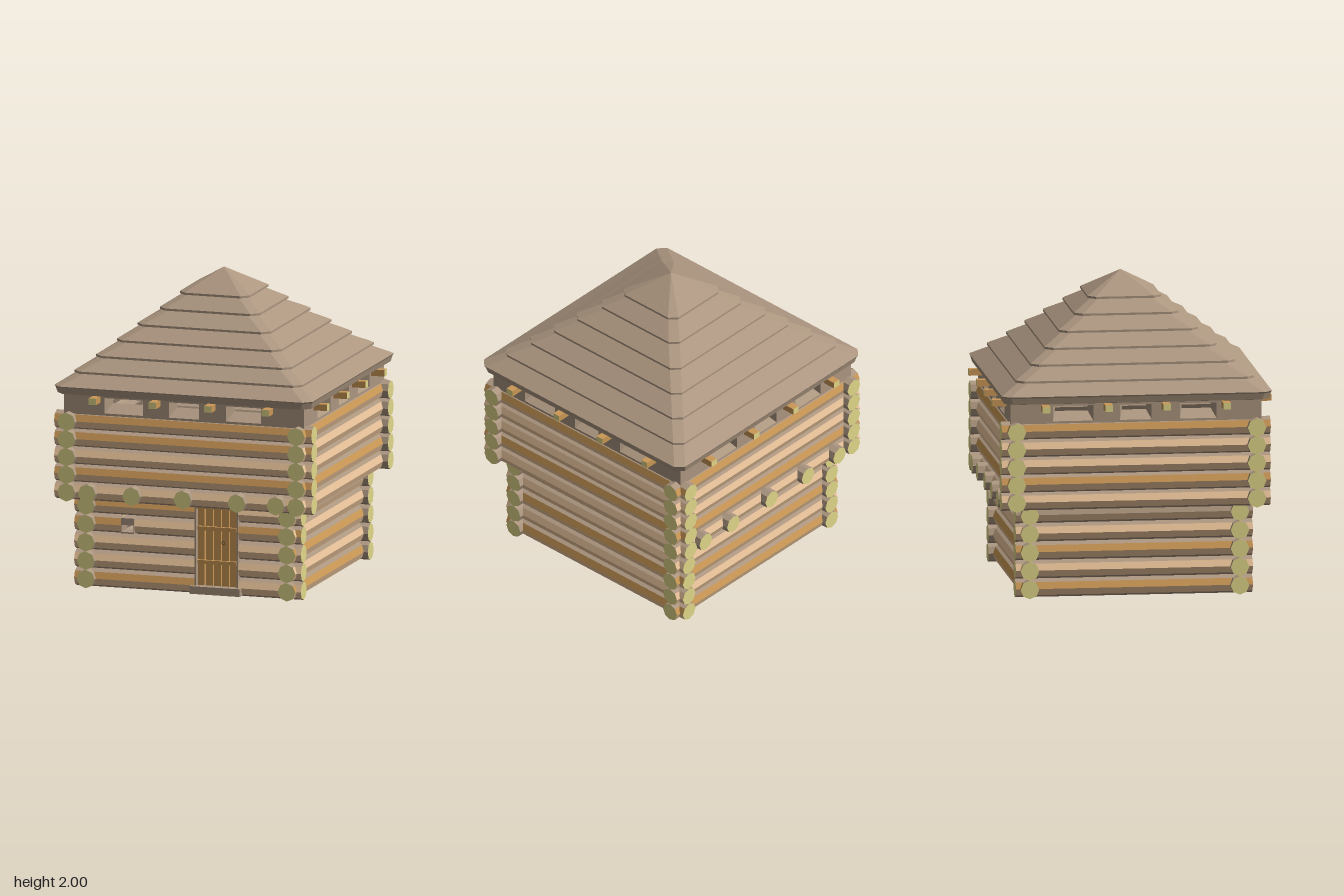
import * as THREE from 'three';

const mat = (name, color) => {
  const m = new THREE.MeshStandardMaterial({ color });
  m.name = name;
  return m;
};

export function createModel() {
  const model = new THREE.Group();
  model.name = 'logBlockhouse';
  const aged = mat('agedWood', 0xac9680);
  const orange = mat('orangeWood', 0xcb9856);
  const pale = mat('paleWood', 0xeac49a);
  const cut = mat('cutWood', 0xe2d88a);
  const iron = mat('darkIron', 0x6a5238);

  const add = (parent, name, geo, m, x = 0, y = 0, z = 0) => {
    const mesh = new THREE.Mesh(geo, m);
    mesh.name = name;
    mesh.position.set(x, y, z);
    parent.add(mesh);
    return mesh;
  };
  const box = (parent, name, m, w, h, d, x, y, z) =>
    add(parent, name, new THREE.BoxGeometry(w, h, d), m, x, y, z);

  // Eight-sided log along x. Groups: 0 upper outer facet, 1 hidden facets,
  // 2 lower outer facet, 3 end at -x, 4 end at +x
  const R = 0.06;
  const logGeometry = (length) => {
    const g = new THREE.CylinderGeometry(R, R, length, 8, 1);
    g.clearGroups();
    g.addGroup(0, 6, 0);
    g.addGroup(6, 36, 1);
    g.addGroup(42, 6, 2);
    g.addGroup(48, 24, 3);
    g.addGroup(72, 24, 4);
    const flat = g.toNonIndexed();
    flat.computeVertexNormals();
    return flat.rotateZ(Math.PI / 2);
  };
  const log = (parent, name, x0, x1, y, z, face) =>
    add(parent, name, logGeometry(x1 - x0), [face, aged, pale, cut, cut], (x0 + x1) / 2, y, z);

  const sides = ['front', 'left', 'back', 'right'];
  const wall = (name, k) => {
    const g = new THREE.Group();
    g.name = sides[k] + name;
    g.rotation.y = (k * Math.PI) / 2;
    model.add(g);
    return g;
  };

  // Plank band with splayed loopholes
  const windows = [[-0.405, 0.13], [0, 0.102], [0.402, 0.118]];
  const OUT = 0.81, IN = 0.71, SPLAY = 0.025;
  const loopholeBand = (g) => {
    const edges = [[-OUT, -OUT]];
    for (const [c, w] of windows) {
      edges.push([c - w, c - w + SPLAY], [c + w, c + w - SPLAY]);
    }
    edges.push([OUT, OUT]);
    for (let i = 0; i < edges.length; i += 2) {
      const [a, b] = [edges[i], edges[i + 1]];
      const s = new THREE.Shape([
        new THREE.Vector2(a[0], -OUT), new THREE.Vector2(b[0], -OUT),
        new THREE.Vector2(b[1], -IN), new THREE.Vector2(a[1], -IN)]);
      const geo = new THREE.ExtrudeGeometry(s, { depth: 0.13, bevelEnabled: false });
      add(g, 'loopholePier', geo.rotateX(-Math.PI / 2), aged, 0, 1.13, 0);
    }
    const sill = new THREE.Shape([
      new THREE.Vector2(OUT, 1.13), new THREE.Vector2(OUT, 1.16),
      new THREE.Vector2(IN, 1.21), new THREE.Vector2(IN, 1.13)]);
    const sillGeo = new THREE.ExtrudeGeometry(sill, { depth: 1.6, bevelEnabled: false });
    add(g, 'loopholeSill', sillGeo.rotateY(-Math.PI / 2), aged, 0.8, 0, 0);
    box(g, 'loopholeLintel', aged, OUT * 2, 0.055, 0.1, 0, 1.2875, 0.76);
  };

  // Four walls, both storeys
  const lowerFaces = [orange, pale, orange, pale, aged];
  const lowerFront = [orange, pale, pale, pale, orange];
  const upperFront = [pale, orange, pale, orange, orange];
  const upperSide = [pale, orange, pale, pale, orange];
  for (let k = 0; k < 4; k++) {
    const low = wall('LowerWall', k);
    const up = wall('UpperWall', k);
    for (let i = 0; i < 5; i++) {
      const y = 0.06 + i * 0.12;
      if (k === 0) {
        // Front logs stop at the door and the small window
        const face = lowerFront[i];
        if (i === 3) {
          log(low, 'lowerLog', -0.765, -0.45, y, 0.678, orange);
          log(low, 'lowerLog', -0.36, 0.05, y, 0.678, face);
        } else {
          log(low, 'lowerLog', -0.765, 0.05, y, 0.678, face);
        }
        log(low, 'lowerLog', 0.34, 0.765, y, 0.678, i === 3 ? orange : pale);
      } else {
        log(low, 'lowerLog', -0.765, 0.765, y, 0.678, lowerFaces[i]);
      }
      const face = (k === 0 ? upperFront : upperSide)[i];
      log(up, 'upperLog', -0.868, 0.868, 0.64 + i * 0.115, 0.775, face);
    }
    loopholeBand(up);
    // Rafter ends below the eaves
    for (const x of [-0.588, -0.183, 0.19, 0.578]) {
      box(up, 'rafterEnd', [orange, orange, orange, orange, cut, cut], 0.05, 0.042, 0.16, x, 1.25, 0.82);
    }
  }

  // Floor joists poking out at front and back, the outer ones shorter
  for (const s of [1, -1]) {
    for (const [x, length] of [[-0.635, 0.16], [-0.335, 0.28], [0.01, 0.28], [0.375, 0.28], [0.638, 0.16]]) {
      const j = add(model, 'floorJoist', logGeometry(length), [aged, aged, aged, cut, aged],
        x, 0.64, s * (0.872 - length / 2));
      j.rotation.y = (s * Math.PI) / 2;
    }
  }

  // Door
  const door = new THREE.Group();
  door.name = 'door';
  model.add(door);
  for (let i = 0; i < 5; i++) {
    box(door, 'doorPlank', orange, 0.046, 0.5, 0.025, 0.085 + i * 0.0545, 0.31, 0.7);
  }
  for (const y of [0.215, 0.435]) {
    box(door, 'doorBatten', orange, 0.26, 0.025, 0.02, 0.195, y, 0.722);
  }
  for (const x of [0.053, 0.337]) box(door, 'doorJamb', aged, 0.009, 0.52, 0.12, x, 0.32, 0.678);
  box(door, 'doorLintel', orange, 0.28, 0.015, 0.12, 0.195, 0.572, 0.678);
  const ring = add(door, 'doorHandle', new THREE.TorusGeometry(0.01, 0.003, 6, 12), iron, 0.235, 0.345, 0.716);
  ring.rotation.z = 0.3;
  box(door, 'doorStep', aged, 0.34, 0.05, 0.2, 0.193, 0.035, 0.668);

  // Small firing window beside the door
  const frame = new THREE.Shape([
    new THREE.Vector2(-0.045, -0.05), new THREE.Vector2(0.045, -0.05),
    new THREE.Vector2(0.045, 0.05), new THREE.Vector2(-0.045, 0.05)]);
  frame.holes.push(new THREE.Path([
    new THREE.Vector2(-0.04, -0.04), new THREE.Vector2(-0.04, 0.005),
    new THREE.Vector2(0.04, 0.005), new THREE.Vector2(0.04, -0.04)]));
  add(model, 'smallWindow', new THREE.ExtrudeGeometry(frame, { depth: 0.12, bevelEnabled: false }),
    aged, -0.405, 0.418, 0.615);

  // Stepped shingle roof: square rings with clipped corners
  const tiers = [[0.77, 1.415], [0.66, 1.503], [0.555, 1.592], [0.45, 1.682], [0.338, 1.772], [0.236, 1.862]];
  const profile = [[0, 1.3], [0.8, 1.3], [0.815, 1.272], [0.855, 1.28], [0.866, 1.32], [0.872, 1.33]];
  for (const [h, y] of tiers) profile.push([h - 0.025, y - 0.014], [h, y - 0.014], [h, y]);
  profile.push([0, 2]);
  const ringPoints = ([h, y]) => {
    const c = h - Math.min(0.05, h * 0.2);
    return [[-c, h], [c, h], [h, c], [h, -c], [c, -h], [-c, -h], [-h, -c], [-h, c]]
      .map(([x, z]) => [x, y, z]);
  };
  const pos = [];
  for (let i = 0; i + 1 < profile.length; i++) {
    const lo = ringPoints(profile[i]);
    const hi = ringPoints(profile[i + 1]);
    for (let j = 0; j < 8; j++) {
      const n = (j + 1) % 8;
      if (profile[i][0] > 0) pos.push(...lo[j], ...lo[n], ...hi[j]);
      if (profile[i + 1][0] > 0) pos.push(...lo[n], ...hi[n], ...hi[j]);
    }
  }
  const roof = new THREE.BufferGeometry();
  roof.setAttribute('position', new THREE.Float32BufferAttribute(pos, 3));
  roof.computeVertexNormals();
  add(model, 'shingleRoof', roof, aged, 0.004, 0, 0.006);

  return model;
}
